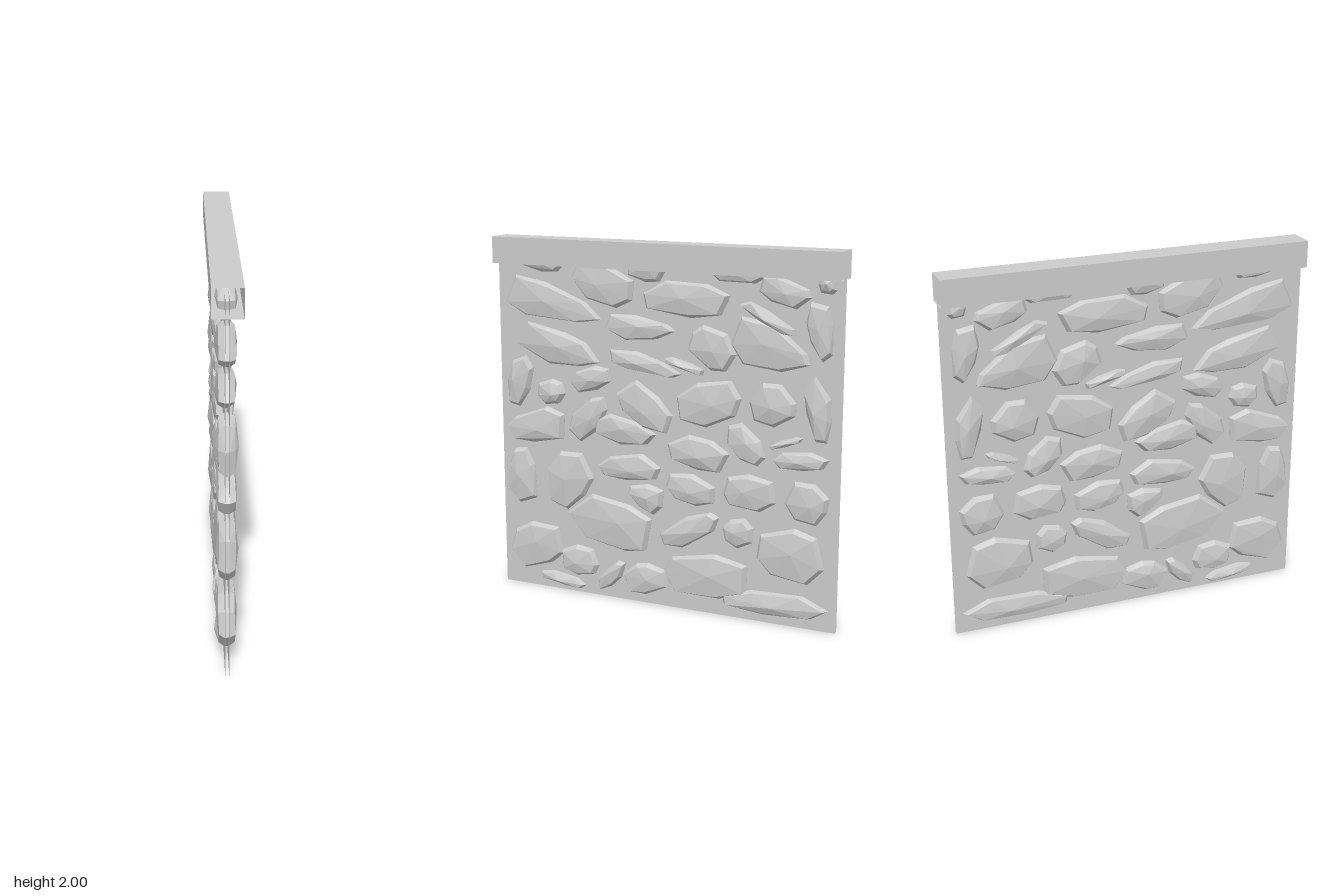
import * as THREE from 'three';
import { ConvexGeometry } from 'three/addons/geometries/ConvexGeometry.js';

// Courses of stones, each stone: [along, height, length, breadth, tilt in degrees, taper]
const COURSES = {
  cappedCourse: [
    [-.71, 1.88, .3, .13, 0, 0], [-.35, 1.77, .38, .22, -15, 0], [-.08, 1.87, .24, .16, 0, 0],
    [.14, 1.71, .5, .19, 0, .1], [.43, 1.88, .32, .13, 0, 0], [.69, 1.78, .28, .14, -15, 0], [.91, 1.83, .1, .1, 0, 0],
  ],
  upperCourse: [
    [-.65, 1.64, .6, .21, -12, .5], [-.13, 1.54, .42, .14, -2, .4], [.29, 1.46, .27, .22, -20, 0],
    [.6, 1.64, .34, .07, -27, 0], [.62, 1.48, .44, .27, -20, .5], [.88, 1.59, .31, .14, -80, .2],
  ],
  highCourse: [
    [-.63, 1.4, .53, .2, -10, .4], [-.1, 1.35, .44, .11, -12, .4], [.13, 1.36, .23, .05, -15, 0],
    [-.88, 1.2, .3, .15, 75, 0], [-.68, 1.15, .18, .14, 10, 0], [-.43, 1.24, .26, .13, 18, 0],
    [.27, 1.17, .38, .24, 20, 0], [.63, 1.19, .26, .23, 0, 0], [.88, 1.19, .35, .14, -82, .2],
  ],
  middleCourse: [
    [-.78, .95, .39, .19, 12, -.3], [-.44, 1.03, .3, .17, 50, .3], [-.1, 1.11, .36, .2, -35, .1],
    [-.22, .97, .37, .16, -5, .3], [.21, .89, .36, .18, -8, 0], [.48, .97, .26, .16, -45, 0],
    [.71, 1, .19, .04, 20, 0], [.79, .91, .31, .1, 5, 0],
  ],
  lowCourse: [
    [-.88, .65, .33, .2, 90, .35], [-.58, .66, .36, .27, 55, 0], [-.2, .77, .39, .15, 5, -.2],
    [-.1, .61, .22, .16, -15, -.4], [.17, .69, .29, .17, -10, 0], [.51, .71, .3, .2, 0, 0], [.83, .69, .23, .23, -20, 0],
  ],
  lowerCourse: [
    [-.33, .44, .51, .27, -10, 0], [.17, .46, .38, .15, 27, .2], [.45, .48, .18, .16, 20, 0],
    [.75, .4, .38, .29, -10, 0], [-.79, .25, .36, .26, 25, 0], [-.51, .19, .24, .18, 0, 0],
  ],
  footCourse: [
    [-.31, .13, .24, .09, 45, 0], [-.62, .06, .29, .07, -8, 0], [-.1, .14, .27, .18, 10, 0],
    [.26, .21, .5, .25, 5, 0], [.66, .11, .6, .13, 2, 0],
  ],
};

// Small seeded generator
function seeded(seed) {
  let s = seed;
  return () => {
    s = (s * 16807) % 2147483647;
    return s / 2147483647;
  };
}

// Irregular outline fitted exactly to length and breadth, then tapered and tilted
function stoneOutline([along, height, length, breadth, tilt, taper], rand) {
  const sides = 7, turn = rand();
  const raw = Array.from({ length: sides }, (_, i) => {
    const a = ((i + turn + (rand() - .5) * .5) / sides) * Math.PI * 2;
    const c = Math.cos(a), s = Math.sin(a);
    const r = Math.pow(Math.abs(c) ** 2.8 + Math.abs(s) ** 2.8, -1 / 2.8);
    return [c * r, s * r * (1 - taper * c * r)];
  });
  const fit = (k, size) => {
    const vals = raw.map((p) => p[k]);
    const lo = Math.min(...vals), hi = Math.max(...vals);
    return vals.map((v) => ((v - lo) / (hi - lo) - .5) * size);
  };
  const us = fit(0, length), vs = fit(1, breadth);
  const t = THREE.MathUtils.degToRad(tilt);
  return us.map((u, i) => [
    THREE.MathUtils.clamp(along + u * Math.cos(t) - vs[i] * Math.sin(t), -.97, .97),
    THREE.MathUtils.clamp(height + u * Math.sin(t) + vs[i] * Math.cos(t), .025, 1.945),
  ]);
}

// A stone passes through the wall: widest at the wall, bevelled to a faceted face on each side
function stoneGeometry(spec, rand) {
  const ring = stoneOutline(spec, rand);
  const cs = ring.reduce((sum, p) => sum + p[0], 0) / ring.length;
  const cy = ring.reduce((sum, p) => sum + p[1], 0) / ring.length;
  const inset = Math.min(.02, spec[3] * .2);
  const points = [];
  for (const side of [-1, 1]) {
    for (const [s, y] of ring) {
      const d = Math.hypot(s - cs, y - cy);
      const k = 1 - inset / Math.max(d, .03);
      points.push(new THREE.Vector3(side * .012, y, -s));
      points.push(new THREE.Vector3(side * (.037 + rand() * .006), cy + (y - cy) * k, -(cs + (s - cs) * k)));
    }
    const ps = cs + (rand() - .5) * spec[2] * .2;
    const py = cy + (rand() - .5) * spec[3] * .2;
    points.push(new THREE.Vector3(side * (.052 + rand() * .006), py, -ps));
  }
  return new ConvexGeometry(points);
}

export function createModel() {
  const model = new THREE.Group();
  model.name = 'stoneWall';
  const material = new THREE.MeshStandardMaterial({ color: 0xcccccc, flatShading: true });
  const openMaterial = material.clone();
  openMaterial.side = THREE.DoubleSide;

  const add = (parent, name, geometry, mat) => {
    const mesh = new THREE.Mesh(geometry, mat);
    mesh.name = name;
    parent.add(mesh);
    return mesh;
  };

  // Two mortar sheets, open at the edges
  for (const side of [-1, 1]) {
    const sheet = new THREE.PlaneGeometry(2, 1.93).rotateY(side * Math.PI / 2).translate(side * .01, .965, 0);
    add(model, side > 0 ? 'leftMortarSheet' : 'rightMortarSheet', sheet, openMaterial);
  }

  // Coping: a square tube with open ends
  const coping = new THREE.CylinderGeometry(Math.SQRT1_2, Math.SQRT1_2, 2, 4, 1, true)
    .rotateY(Math.PI / 4).rotateX(Math.PI / 2).scale(.15, .145, 1).translate(0, 1.9275, 0);
  add(model, 'coping', coping, openMaterial);

  // Stones, course by course
  const rand = seeded(4711);
  for (const [name, stones] of Object.entries(COURSES)) {
    const course = new THREE.Group();
    course.name = name;
    for (const spec of stones) add(course, 'stone', stoneGeometry(spec, rand), material);
    model.add(course);
  }
  return model;
}
